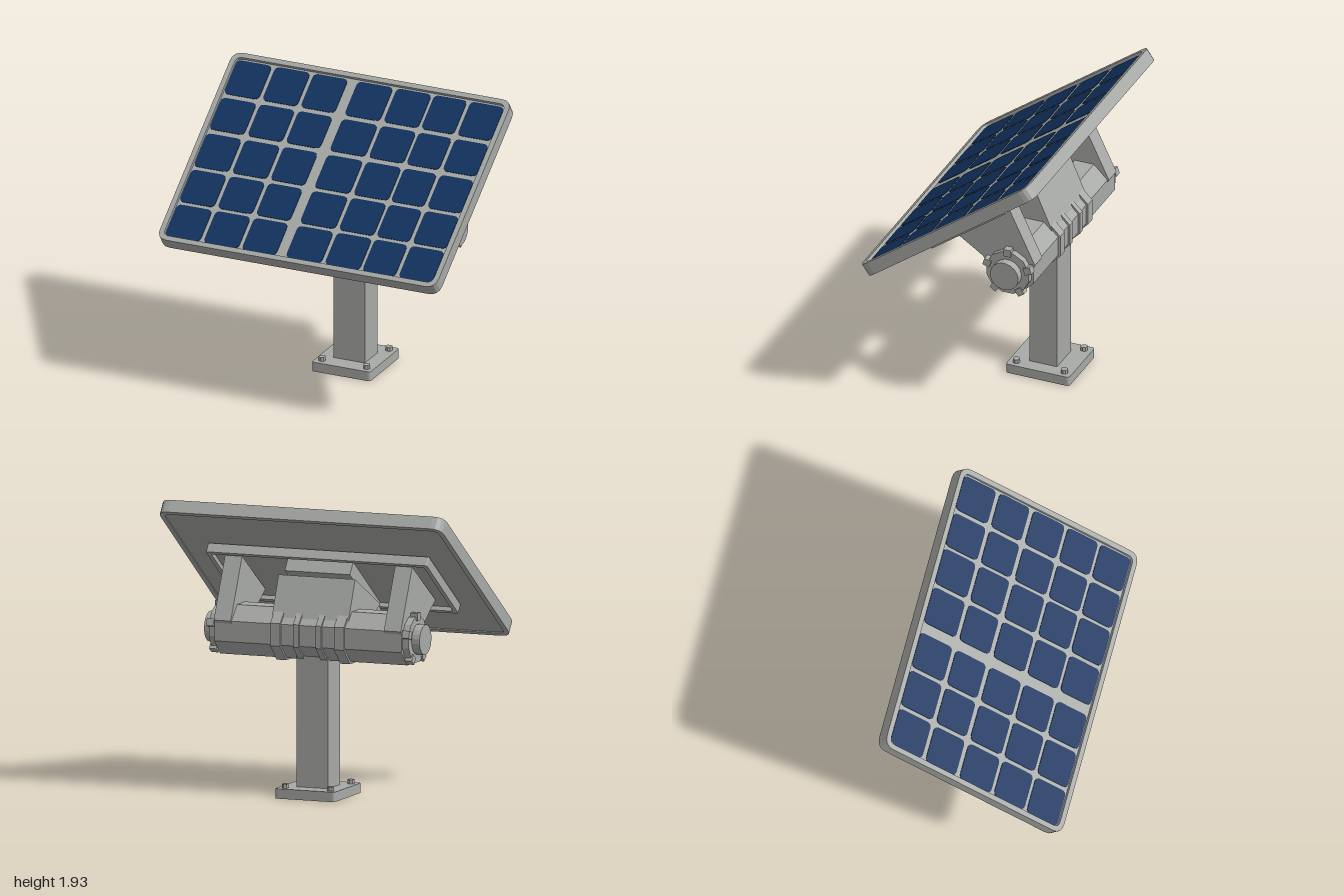
import * as THREE from 'three';

const metal = new THREE.MeshStandardMaterial({ color: 0xa8aaa7, flatShading: true });
metal.name = 'grey metal';
const blue = new THREE.MeshStandardMaterial({ color: 0x10325f });
blue.name = 'solar blue';

const AXIS_Y = 1.07, AXIS_Z = -0.305;

function roundedRect(Type, x0, x1, y0, y1, r) {
  const s = new Type();
  s.moveTo(x0 + r, y0);
  s.lineTo(x1 - r, y0);
  s.quadraticCurveTo(x1, y0, x1, y0 + r);
  s.lineTo(x1, y1 - r);
  s.quadraticCurveTo(x1, y1, x1 - r, y1);
  s.lineTo(x0 + r, y1);
  s.quadraticCurveTo(x0, y1, x0, y1 - r);
  s.lineTo(x0, y0 + r);
  s.quadraticCurveTo(x0, y0, x0 + r, y0);
  return s;
}

function add(parent, name, geometry, x = 0, y = 0, z = 0, material = metal) {
  const m = new THREE.Mesh(geometry, material);
  m.name = name;
  m.position.set(x, y, z);
  parent.add(m);
  return m;
}

// Flat slab lying in the xz plane, rising from y = 0
function slab(shape, height) {
  const g = new THREE.ExtrudeGeometry(shape, { depth: height, bevelEnabled: false, curveSegments: 4 });
  return g.rotateX(-Math.PI / 2);
}

// Prism across x from a side profile of [z, y] points
function sidePrism(points, width) {
  const shape = new THREE.Shape(points.map(([z, y]) => new THREE.Vector2(-z, y)));
  const g = new THREE.ExtrudeGeometry(shape, { depth: width, bevelEnabled: false });
  return g.translate(0, 0, -width / 2).rotateY(Math.PI / 2);
}

// Cylinder lying along x, with a flat side down
function drum(radius, width, sides = 8) {
  return new THREE.CylinderGeometry(radius, radius, width, sides).rotateY(Math.PI / sides).rotateZ(Math.PI / 2);
}

function buildPanel() {
  const panel = new THREE.Group();
  panel.name = 'solarPanel';
  panel.position.set(0, 1.455, 0);
  panel.rotation.x = 0.632;

  // Frame rim around a slightly recessed sheet
  const rim = roundedRect(THREE.Shape, -1, 1, -0.737, 0.737, 0.075);
  rim.holes.push(roundedRect(THREE.Path, -0.965, 0.965, -0.702, 0.702, 0.045));
  add(panel, 'panelFrame', slab(rim, 0.09), 0, -0.045, 0);
  const sheet = roundedRect(THREE.Shape, -0.967, 0.967, -0.704, 0.704, 0.045);
  add(panel, 'panelSheet', slab(sheet, 0.06), 0, -0.037, 0);

  // Blue cells, with a wider gap beside the third column
  const columns = [[-0.96, -0.71], [-0.685, -0.435], [-0.41, -0.165], [-0.095, 0.16],
    [0.185, 0.435], [0.455, 0.69], [0.715, 0.955]];
  const rows = [[-0.69, -0.425], [-0.395, -0.145], [-0.113, 0.147], [0.172, 0.424], [0.446, 0.695]];
  for (const [x0, x1] of columns) {
    for (const [z0, z1] of rows) {
      const cell = roundedRect(THREE.Shape, x0, x1, -z1, -z0, 0.035);
      add(panel, 'solarCell', slab(cell, 0.004), 0, 0.023, 0, blue);
    }
  }

  // Mounting tray on the back
  add(panel, 'mountingPlate', new THREE.BoxGeometry(1.54, 0.04, 0.62), 0, -0.06, 0);
  const trayRim = roundedRect(THREE.Shape, -0.78, 0.78, -0.33, 0.33, 0.01);
  trayRim.holes.push(roundedRect(THREE.Path, -0.75, 0.75, -0.3, 0.3, 0.01));
  add(panel, 'trayRim', slab(trayRim, 0.065), 0, -0.11, 0);
  add(panel, 'centreBlock', new THREE.BoxGeometry(0.46, 0.1, 0.59), 0, -0.125, 0.035);
  return panel;
}

function buildPivot() {
  const pivot = new THREE.Group();
  pivot.name = 'tiltPivot';
  add(pivot, 'hub', drum(0.18, 0.5), 0, AXIS_Y, AXIS_Z);

  const armProfile = [[-0.29, 1.54], [-0.48, 1.14], [-0.4, 1.0], [-0.2, 1.0], [-0.11, 1.13], [0.1, 1.27]];
  const centreProfile = [[-0.32, 1.44], [-0.44, 1.16], [-0.31, 1.07], [-0.13, 1.1], [0.1, 1.22]];
  add(pivot, 'centreBracket', sidePrism(centreProfile, 0.54));

  for (const s of [-1, 1]) {
    add(pivot, 'crossTube', drum(0.178, 0.42), s * 0.45, AXIS_Y, AXIS_Z);
    add(pivot, 'hubRing', drum(0.194, 0.04), s * 0.08, AXIS_Y, AXIS_Z);
    add(pivot, 'collar', drum(0.195, 0.07), s * 0.225, AXIS_Y, AXIS_Z);
    add(pivot, 'sideArm', sidePrism(armProfile, 0.12), s * 0.6, 0, 0);
    add(pivot, 'endFlange', drum(0.155, 0.05, 12), s * 0.68, AXIS_Y, AXIS_Z);
    add(pivot, 'endCap', drum(0.1, 0.06, 20), s * 0.73, AXIS_Y, AXIS_Z);
    // Clamp tabs around each end
    for (let i = 0; i < 5; i++) {
      const a = Math.PI / 2 + i * Math.PI * 0.4;
      const tab = add(pivot, 'clampTab', new THREE.BoxGeometry(0.05, 0.05, 0.05),
        s * 0.69, AXIS_Y + 0.15 * Math.sin(a), AXIS_Z + 0.15 * Math.cos(a));
      tab.rotation.x = -a;
    }
  }
  return pivot;
}

function buildStand() {
  const stand = new THREE.Group();
  stand.name = 'stand';
  stand.position.z = -0.3;
  add(stand, 'basePlate', slab(roundedRect(THREE.Shape, -0.21, 0.21, -0.225, 0.225, 0.02), 0.065));
  add(stand, 'post', new THREE.BoxGeometry(0.225, 0.99, 0.195), 0, 0.545, 0);
  for (const x of [-0.16, 0.16]) {
    for (const z of [-0.17, 0.17]) {
      add(stand, 'baseBolt', new THREE.CylinderGeometry(0.024, 0.024, 0.035, 8), x, 0.075, z);
    }
  }
  return stand;
}

export function createModel() {
  const model = new THREE.Group();
  model.name = 'solarPanelOnPost';
  model.add(buildPanel(), buildPivot(), buildStand());
  return model;
}
